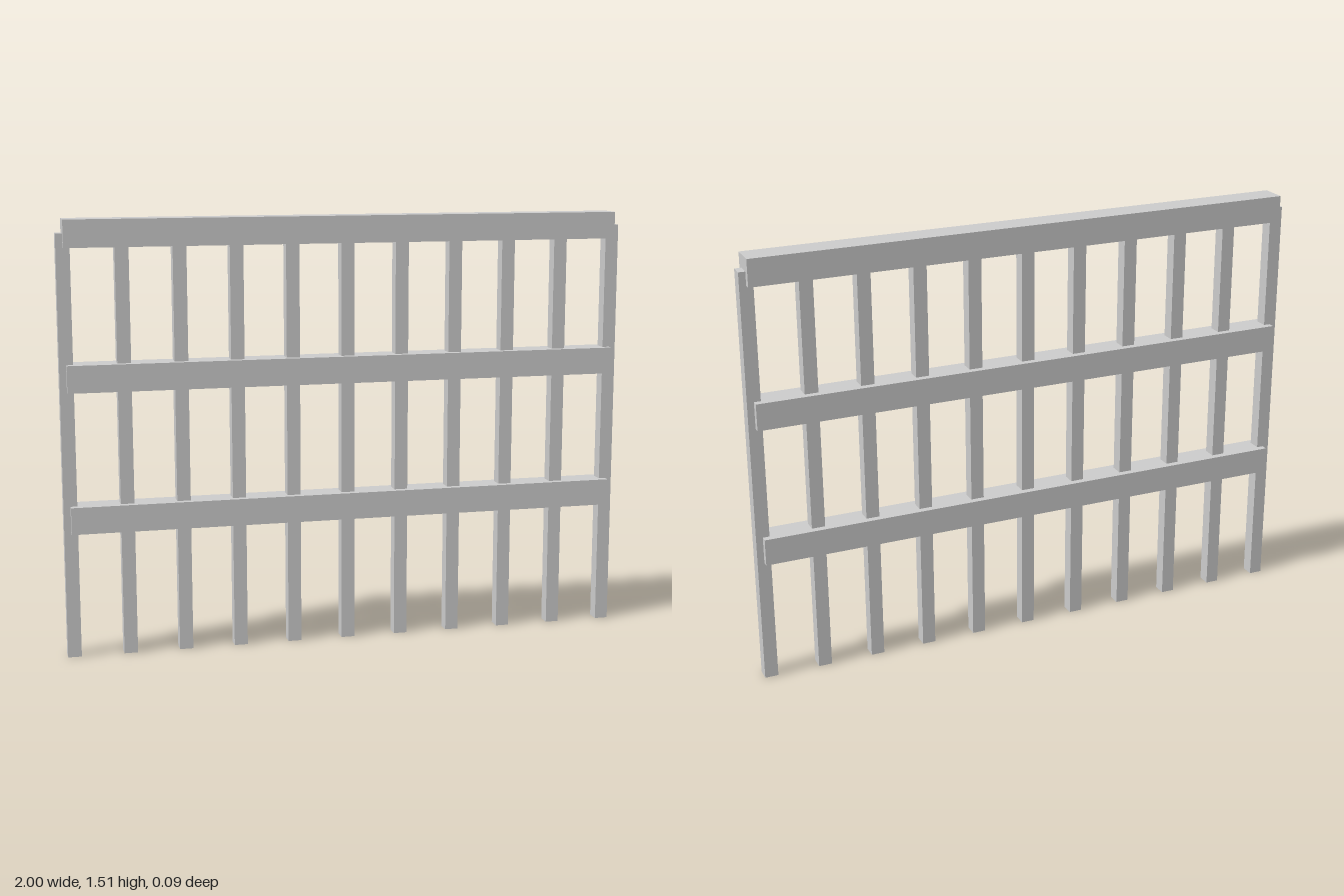
import * as THREE from 'three';

export function createModel() {
  const group = new THREE.Group();
  const material = new THREE.MeshStandardMaterial({ color: 0xcccccc, flatShading: true });

  const barCount = 11;
  const barSize = 0.047;
  const railSize = 0.094;
  const span = 2 - barSize; // distance between the outer bar centres
  const height = 1.465;

  // Upright square bars, evenly spaced
  const barGeometry = new THREE.BoxGeometry(barSize, height, barSize);
  for (let i = 0; i < barCount; i++) {
    const bar = new THREE.Mesh(barGeometry, material);
    bar.name = `uprightBar${i + 1}`;
    bar.position.set(-span / 2 + (span * i) / (barCount - 1), height / 2, 0);
    group.add(bar);
  }

  // Horizontal rails at each third of the bar height, ending at the outer bar centres
  const railGeometry = new THREE.BoxGeometry(span, railSize, railSize);
  ['lowerRail', 'middleRail', 'topRail'].forEach((name, i) => {
    const rail = new THREE.Mesh(railGeometry, material);
    rail.name = name;
    rail.position.y = (height * (i + 1)) / 3;
    group.add(rail);
  });

  return group;
}
